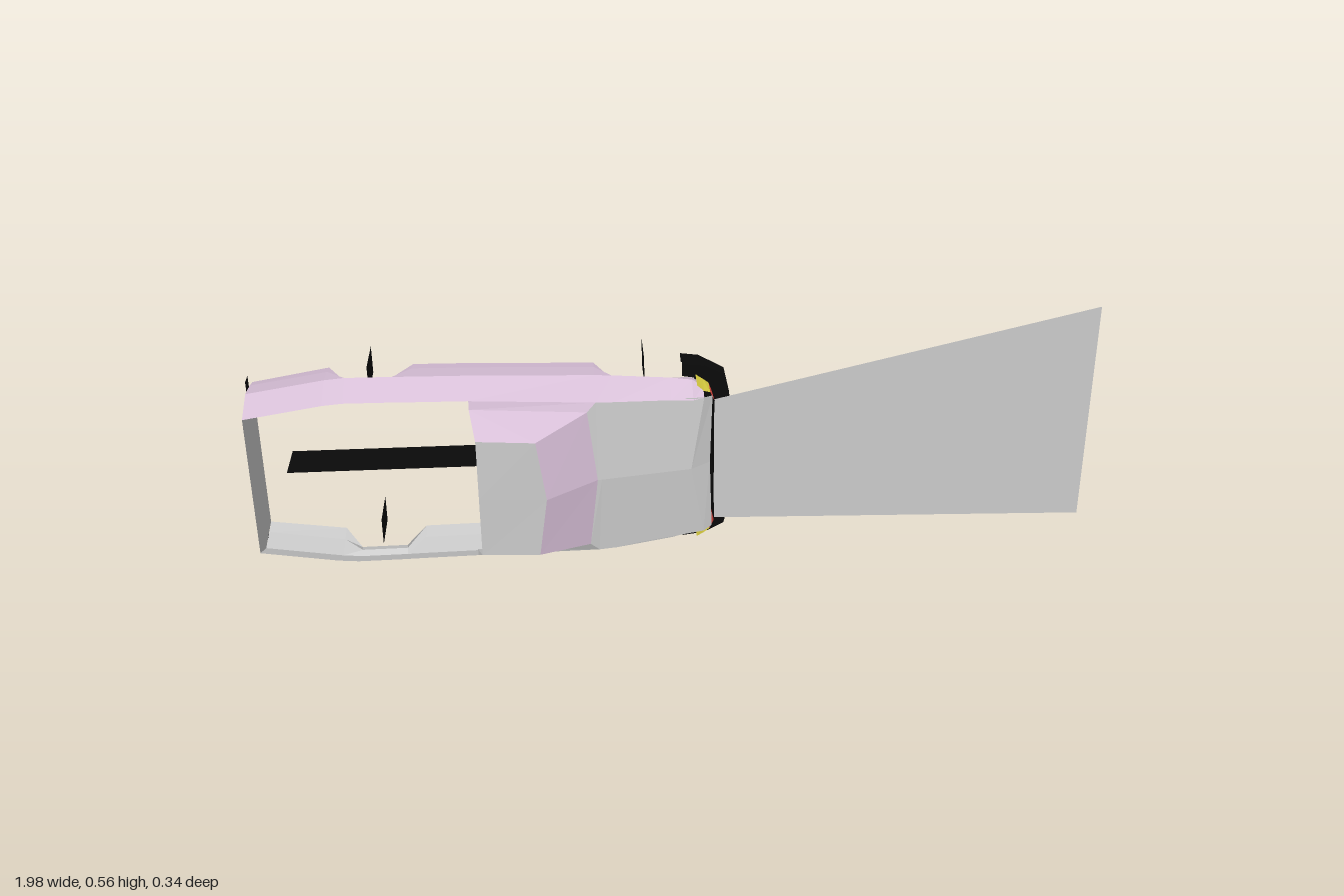
import * as THREE from 'three';

const MID = 0.281; // the vehicle lies on its side: width runs along y, its roof faces +z

const paint = (color) => new THREE.MeshStandardMaterial({ color, flatShading: true, side: THREE.DoubleSide });
const grey = paint(0xcccccc), pink = paint(0xd8c0d8), black = paint(0x0a0a0a);
const red = paint(0xe84a42), yellow = paint(0xd8cc40);

// Skin over rows of points [x, half width, z]; side mirrors the width
function skin(name, rows, material, side = 1) {
  const pos = [];
  const put = ([x, w, z]) => pos.push(x, MID + side * w, z);
  for (let i = 0; i < rows.length - 1; i++) {
    for (let j = 0; j < rows[i].length - 1; j++) {
      const a = rows[i][j], b = rows[i + 1][j], c = rows[i + 1][j + 1], d = rows[i][j + 1];
      const order = side > 0 ? [a, b, c, a, c, d] : [a, c, b, a, d, c];
      order.forEach(put);
    }
  }
  const g = new THREE.BufferGeometry();
  g.setAttribute('position', new THREE.Float32BufferAttribute(pos, 3));
  g.computeVertexNormals();
  const mesh = new THREE.Mesh(g, material);
  mesh.name = name;
  return mesh;
}

// Full-width row from an edge point and a centre point
const across = (edge, centre) => [[edge[0], -edge[1], edge[2]], centre, edge];

export function createModel() {
  const group = new THREE.Group();

  // Side stations: x, greatest half width, rail height, lower edge (raised over the wheels)
  const stations = [
    [-0.975, 0.2, 0.065, -0.1], [-0.8, 0.228, 0.065, -0.105], [-0.755, 0.232, 0.065, -0.02],
    [-0.65, 0.231, 0.065, -0.02], [-0.61, 0.23, 0.065, -0.105], [-0.48, 0.228, 0.065, -0.105],
    [-0.2, 0.219, 0.075, -0.105], [-0.16, 0.217, 0.072, -0.02], [-0.03, 0.207, 0.052, -0.02],
    [0.02, 0.2, 0.042, -0.035], [0.045, 0.185, 0.035, -0.035],
  ];
  const railWidth = (s) => s[1] - (s[0] > 0.03 ? 0.012 : 0.029);
  const sidePanel = stations.map((s) => [
    [s[0], railWidth(s), s[2]],
    [s[0], s[1], -0.005],
    [s[0], s[1] - 0.008, Math.max(s[3], -0.065)],
    [s[0], s[1] - 0.016, s[3]],
  ]);

  // Cab reference points
  const rearBase = [-0.48, 0.18, 0.07], rearRoof = [-0.465, 0.144, 0.155];
  const frontRoof = [-0.335, 0.142, 0.167], frontBase = [-0.22, 0.17, 0.082];
  const roofMid = [-0.315, 0, 0.169], baseMid = [-0.2, 0, 0.086];

  for (const side of [1, -1]) {
    const tone = side > 0 ? pink : grey;
    const tag = side > 0 ? 'left' : 'right';
    group.add(skin(tag + 'SidePanel', sidePanel, tone, side));
    group.add(skin(tag + 'CabSide', [[rearBase, frontBase], [rearRoof, frontRoof]], tone, side));
    group.add(skin(tag + 'CabSill', [[rearBase, frontBase],
      [[-0.48, 0.199, 0.065], [-0.2, 0.19, 0.075]]], tone, side));
    // Two-colour lamps wrapping round the front corner
    group.add(skin(tag + 'InnerLamp', [[[0.07, 0.155, 0.018], [0.06, 0.178, 0.018]],
      [[0.068, 0.155, -0.035], [0.06, 0.178, -0.035]]], red, side));
    group.add(skin(tag + 'OuterLamp', [[[0.06, 0.178, 0.018], [0.045, 0.185, 0.025], [0.03, 0.197, 0.02]],
      [[0.06, 0.178, -0.035], [0.047, 0.188, -0.035], [0.03, 0.2, -0.035]]], yellow, side));
    // Flat wheels facing along the vehicle
    for (const x of [-0.71, -0.085]) {
      group.add(skin(tag + 'Wheel', [[[x, 0.166, -0.057], [x, 0.232, -0.057]],
        [[x, 0.166, -0.17], [x, 0.232, -0.17]]], black, side));
    }
  }

  // Roof, windscreen, bonnet and nose
  group.add(skin('roof', [across(rearRoof, [-0.465, 0, 0.157]), across(frontRoof, roofMid)], grey));
  group.add(skin('windscreen', [across(frontRoof, roofMid), across(frontBase, baseMid)], pink));
  group.add(skin('bonnet', [
    across(frontBase, baseMid),
    across([-0.2, 0.19, 0.075], [-0.19, 0, 0.085]),
    across([0.045, 0.174, 0.035], [0.015, 0, 0.05]),
  ], grey));
  group.add(skin('nose', [across([0.045, 0.174, 0.035], [0.015, 0, 0.05]),
    across([0.065, 0.17, 0.018], [0.06, 0, 0.018])], grey));
  group.add(skin('grille', [across([0.07, 0.158, 0.018], [0.065, 0, 0.02]),
    across([0.068, 0.158, -0.035], [0.075, 0, -0.035])], black));

  // Tailgate and rear bumper
  const tail = (z, w) => [[-0.975, -w, z], [-0.975, w, z]];
  group.add(skin('tailgate', [tail(0.065, 0.171), tail(-0.005, 0.2), tail(-0.1, 0.184)], grey));
  group.add(skin('rearBumper', [[[-0.98, -0.21, -0.045], [-0.98, 0.21, -0.045]],
    [[-0.98, -0.21, -0.08], [-0.98, 0.21, -0.08]]], black));

  // Front bumper: ledge, face and lower lip swept round the nose
  const half = [[0, 0.226], [0.05, 0.22], [0.098, 0.195], [0.108, 0.15], [0.114, 0]];
  const path = [...half.map(([x, w]) => [x, -w]), ...half.slice(0, -1).reverse()];
  group.add(skin('frontBumper', path.map(([x, w]) => [
    [x * 0.6, w * 0.87, -0.032], [x, w, -0.035], [x, w, -0.075],
    [x * 0.85, w * 0.96, -0.112], [x * 0.3, w * 0.93, -0.08],
  ]), black));

  // Central spine under the body
  group.add(skin('driveShaft', [[[-0.905, 0, 0], [0.05, 0, 0]],
    [[-0.905, 0, -0.105], [0.05, 0, -0.105]]], black));

  // Flat light beam widening ahead of the lamps
  group.add(skin('lightBeam', [[[0.07, -0.155, 0.008], [0.07, 0.155, 0.008]],
    [[1, -0.28, -0.16], [1, 0.28, -0.16]]], grey));

  return group;
}
